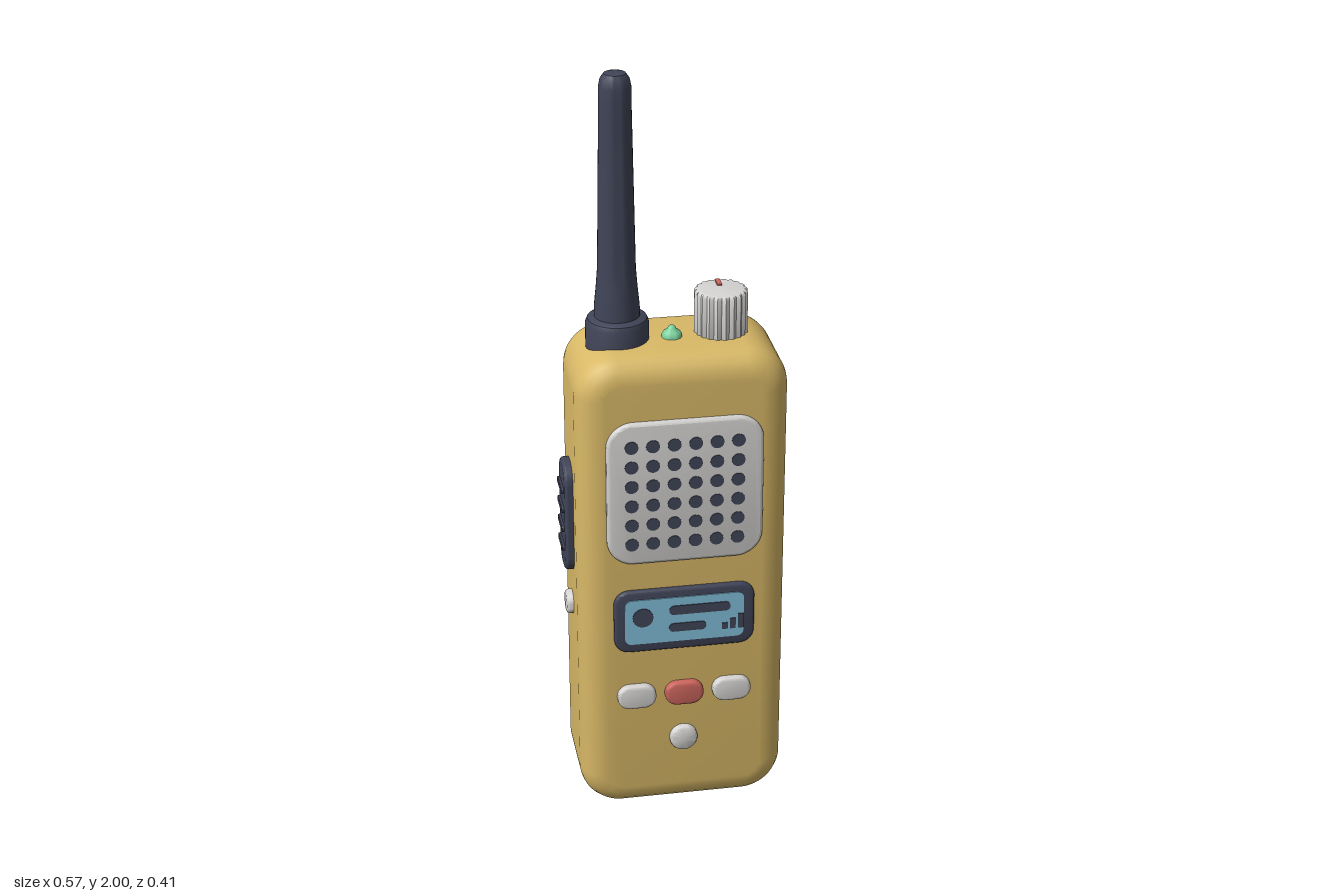
import * as THREE from 'three';
import { toCreasedNormals } from 'three/addons/utils/BufferGeometryUtils.js';

const paint = (name, color) => Object.assign(new THREE.MeshStandardMaterial({ color }), { name });

// Rounded rectangle outline centred on the origin
function roundedRect(w, h, r) {
  const s = new THREE.Shape(), x = w / 2 - r, y = h / 2 - r, q = Math.PI / 2;
  s.absarc(x, y, r, 0, q);
  s.absarc(-x, y, r, q, 2 * q);
  s.absarc(-x, -y, r, 2 * q, 3 * q);
  s.absarc(x, -y, r, 3 * q, 4 * q);
  s.closePath();
  return s;
}

// Extrusion with softened edges, centred in depth
function softExtrude(shape, d, b, curveSegments = 6, bevelSegments = 3) {
  const geo = new THREE.ExtrudeGeometry(shape, {
    depth: d - 2 * b, bevelEnabled: b > 0, bevelSize: b, bevelThickness: b, bevelSegments, curveSegments,
  });
  geo.translate(0, 0, b - d / 2);
  return toCreasedNormals(geo, 0.65);
}

// Rounded slab facing +z: full width, height, depth, corner radius, edge bevel
const slab = (w, h, d, r, b = 0, segs = 3) =>
  softExtrude(roundedRect(w - 2 * b, h - 2 * b, Math.min(r - b, h / 2 - b - 0.001)), d, b, 6, segs);

const lathe = (pts, segs = 32) =>
  toCreasedNormals(new THREE.LatheGeometry(pts.map(([x, y]) => new THREE.Vector2(x, y)), segs), 0.65);

export function createModel() {
  const model = new THREE.Group();
  model.name = 'handheldRadio';
  const yellow = paint('caseYellow', 0xd9b967);
  const dark = paint('darkRubber', 0x404457);
  const light = paint('lightPlastic', 0xd6d5d3);
  const blue = paint('screenBlue', 0x82bdd9);
  const red = paint('signalRed', 0xcc655d);
  const green = paint('lampGreen', 0x7bd19d);

  const add = (name, geo, mat, x, y, z, parent = model) => {
    const m = new THREE.Mesh(geo, mat);
    m.name = name;
    m.position.set(x, y, z);
    parent.add(m);
    return m;
  };
  const CX = 0.013, CZ = 0.03, TOP = 1.311;

  // Case
  add('case', slab(0.542, TOP, 0.315, 0.11, 0.065, 5), yellow, CX, TOP / 2, CZ);

  // Antenna with collar
  add('antennaCollar', lathe([[0, 1.28], [0.08, 1.28], [0.08, 1.355], [0.075, 1.367], [0.064, 1.373], [0, 1.373]]),
    dark, -0.132, 0, CZ);
  add('antenna', lathe([[0.058, 1.36], [0.057, 1.40], [0.052, 1.45], [0.048, 1.50], [0.040, 1.93], [0.040, 1.965],
    [0.036, 1.984], [0.027, 1.997], [0.015, 2], [0, 2]]), dark, -0.132, 0, CZ);

  // Fluted knob with pointer mark
  const flute = new THREE.Shape();
  for (let i = 0; i < 120; i++) {
    const a = (i / 120) * Math.PI * 2, r = 0.056 + 0.003 * Math.cos(a * 20);
    flute[i ? 'lineTo' : 'moveTo'](r * Math.cos(a), r * Math.sin(a));
  }
  flute.closePath();
  add('knob', softExtrude(flute, 0.125, 0.008), light, 0.132, 1.3625, CZ).rotation.x = -Math.PI / 2;
  add('knobMark', slab(0.012, 0.037, 0.006, 0.003), red, 0.132, 1.426, -0.004).rotation.x = -Math.PI / 2;

  // Indicator lamp
  add('lamp', lathe([[0.026, 1.30], [0.026, 1.316], [0.022, 1.324], [0.012, 1.331], [0.009, 1.337], [0.005, 1.341], [0, 1.342]], 20),
    green, 0.004, 0, 0.047);

  // Speaker grille with a grid of dots
  add('speakerPlate', slab(0.402, 0.397, 0.03, 0.07, 0.008), light, CX, 0.949, 0.186);
  const dot = new THREE.CylinderGeometry(0.0175, 0.0175, 0.006, 16).rotateX(Math.PI / 2);
  const dots = new THREE.Group();
  dots.name = 'speakerDots';
  model.add(dots);
  for (let i = 0; i < 6; i++)
    for (let j = 0; j < 6; j++)
      add('speakerDot', dot, dark, 0.0115 + (i - 2.5) * 0.0545, 0.946 + (j - 2.5) * 0.0548, 0.2, dots);

  // Display and its symbols
  const display = new THREE.Group();
  display.name = 'display';
  model.add(display);
  add('displayFrame', slab(0.368, 0.18, 0.03, 0.04, 0.007), dark, 0.012, 0.58, 0.185, display);
  add('displayScreen', slab(0.312, 0.13, 0.006, 0.018), blue, 0.011, 0.581, 0.2, display);
  add('displayDisc', new THREE.CylinderGeometry(0.027, 0.027, 0.005, 20).rotateX(Math.PI / 2), dark, -0.098, 0.594, 0.203, display);
  add('displayLongBar', slab(0.16, 0.026, 0.005, 0.012), dark, 0.051, 0.609, 0.203, display);
  add('displayShortBar', slab(0.097, 0.024, 0.005, 0.011), dark, 0.019, 0.558, 0.203, display);
  for (let i = 0; i < 3; i++) {
    const h = 0.018 + i * 0.012;
    add('displayLevel', new THREE.BoxGeometry(0.015, h, 0.005), dark, 0.117 + i * 0.021, 0.541 + h / 2, 0.203, display);
  }

  // Front buttons
  const pill = slab(0.102, 0.067, 0.034, 0.033, 0.007);
  [light, red, light].forEach((mat, i) => add('frontButton', pill, mat, 0.012 + (i - 1) * 0.126, 0.354, 0.19));
  const round = lathe([[0.037, -0.02], [0.037, 0.008], [0.034, 0.014], [0.028, 0.017], [0, 0.017]], 24);
  add('roundButton', round, light, 0.011, 0.214, 0.19).rotation.x = Math.PI / 2;

  // Side talk button with grip ridges, and a small button below
  add('talkButton', slab(0.116, 0.31, 0.04, 0.05, 0.01), dark, -0.26, 0.825, CZ).rotation.y = -Math.PI / 2;
  for (let i = 0; i < 4; i++)
    add('talkRidge', slab(0.08, 0.018, 0.014, 0.008, 0.003), dark, -0.28, 0.825 + (i - 1.5) * 0.055, CZ).rotation.y = -Math.PI / 2;
  const small = add('sideButton', round, light, -0.261, 0.563, CZ);
  small.rotation.z = Math.PI / 2;
  small.scale.setScalar(0.87);

  // Belt clip: mount block, sloping plate and raised panel
  add('clipMount', slab(0.261, 0.112, 0.08, 0.03, 0.012), dark, CX, 1.04, -0.15);
  const clip = new THREE.Group();
  clip.name = 'beltClip';
  clip.position.set(CX, 1.04, -0.165);
  clip.rotation.x = 0.045;
  model.add(clip);
  add('clipPlate', slab(0.242, 0.605, 0.022, 0.05, 0.007), dark, 0, -0.302, 0, clip);
  add('clipPanel', slab(0.155, 0.36, 0.012, 0.025, 0.004), dark, 0, -0.3, -0.01, clip);
  return model;
}
